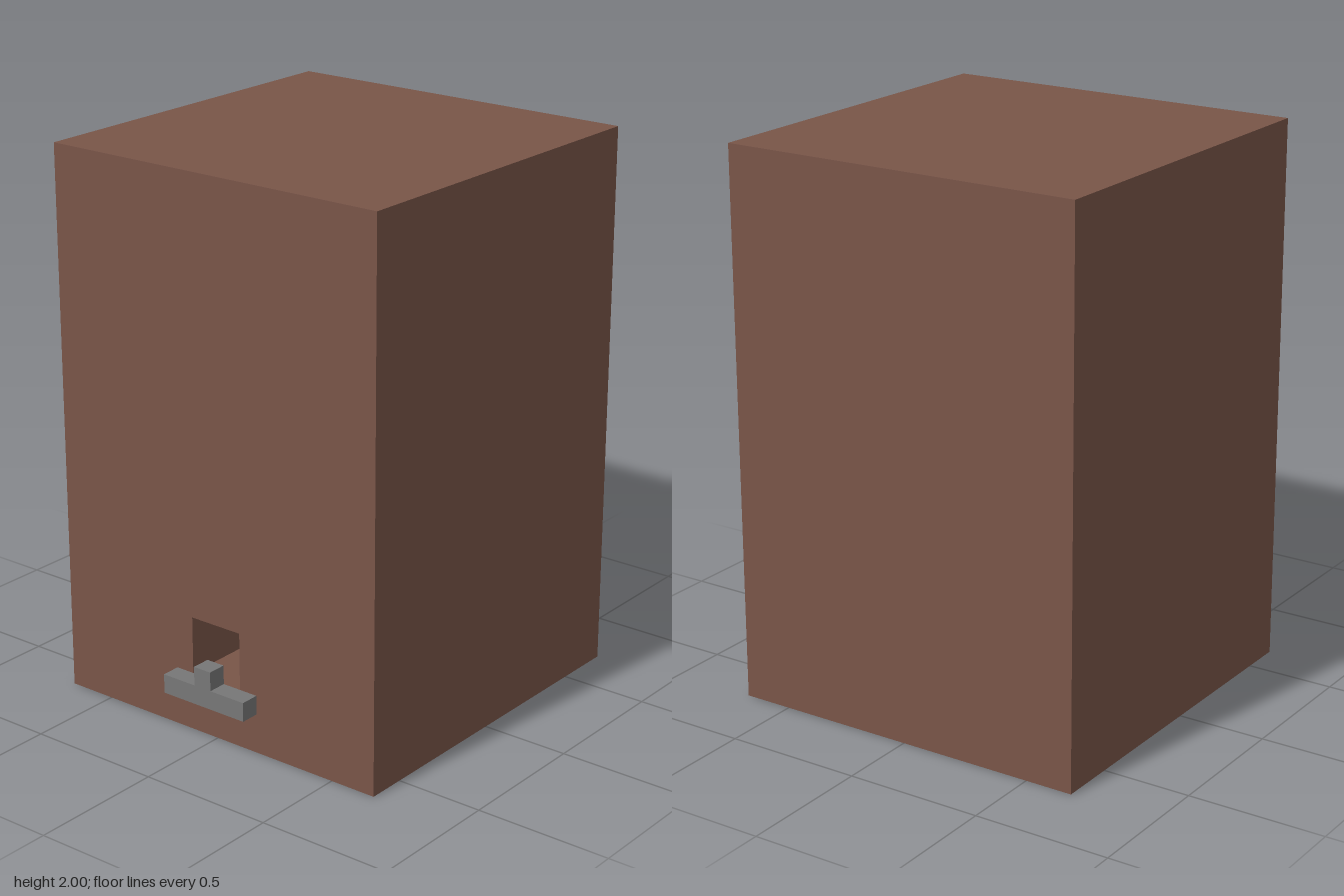
import * as THREE from 'three';

const brown = new THREE.MeshStandardMaterial({ color: 0x795548 });
brown.name = 'brown';
const grey = new THREE.MeshStandardMaterial({ color: 0x777777 });
grey.name = 'grey';

const LEFT = -0.645, RIGHT = 0.71, HALF = 0.678, HEIGHT = 2, RECESS = 0.3;

export function createModel() {
  const group = new THREE.Group();

  const add = (name, geometry, material, x, y, z) => {
    const mesh = new THREE.Mesh(geometry, material);
    mesh.name = name;
    mesh.position.set(x, y, z);
    group.add(mesh);
    return mesh;
  };

  // Side slab with the square entrance cut through it
  const wall = new THREE.Shape([
    new THREE.Vector2(-HALF, 0), new THREE.Vector2(HALF, 0),
    new THREE.Vector2(HALF, HEIGHT), new THREE.Vector2(-HALF, HEIGHT),
  ]);
  wall.holes.push(new THREE.Path([
    new THREE.Vector2(-0.105, 0.215), new THREE.Vector2(-0.105, 0.425),
    new THREE.Vector2(0.105, 0.425), new THREE.Vector2(0.105, 0.215),
  ]));
  const wallGeometry = new THREE.ExtrudeGeometry(wall, { depth: RECESS, bevelEnabled: false });
  wallGeometry.rotateY(Math.PI / 2);
  add('entranceWall', wallGeometry, brown, LEFT, 0, 0);

  // Main body closing the back of the entrance
  const inner = LEFT + RECESS;
  add('body', new THREE.BoxGeometry(RIGHT - inner, HEIGHT, HALF * 2), brown,
    (inner + RIGHT) / 2, HEIGHT / 2, 0);

  // Ledge below the entrance with a small block on top
  add('ledge', new THREE.BoxGeometry(0.07, 0.07, 0.355), grey, LEFT - 0.035, 0.18, 0);
  add('ledgeBlock', new THREE.BoxGeometry(0.07, 0.07, 0.072), grey, LEFT - 0.035, 0.25, -0.003);

  // Round plug in the middle of the underside
  add('basePlug', new THREE.CylinderGeometry(0.032, 0.032, 0.006, 24), grey,
    (LEFT + RIGHT) / 2, 0.001, 0);

  return group;
}
